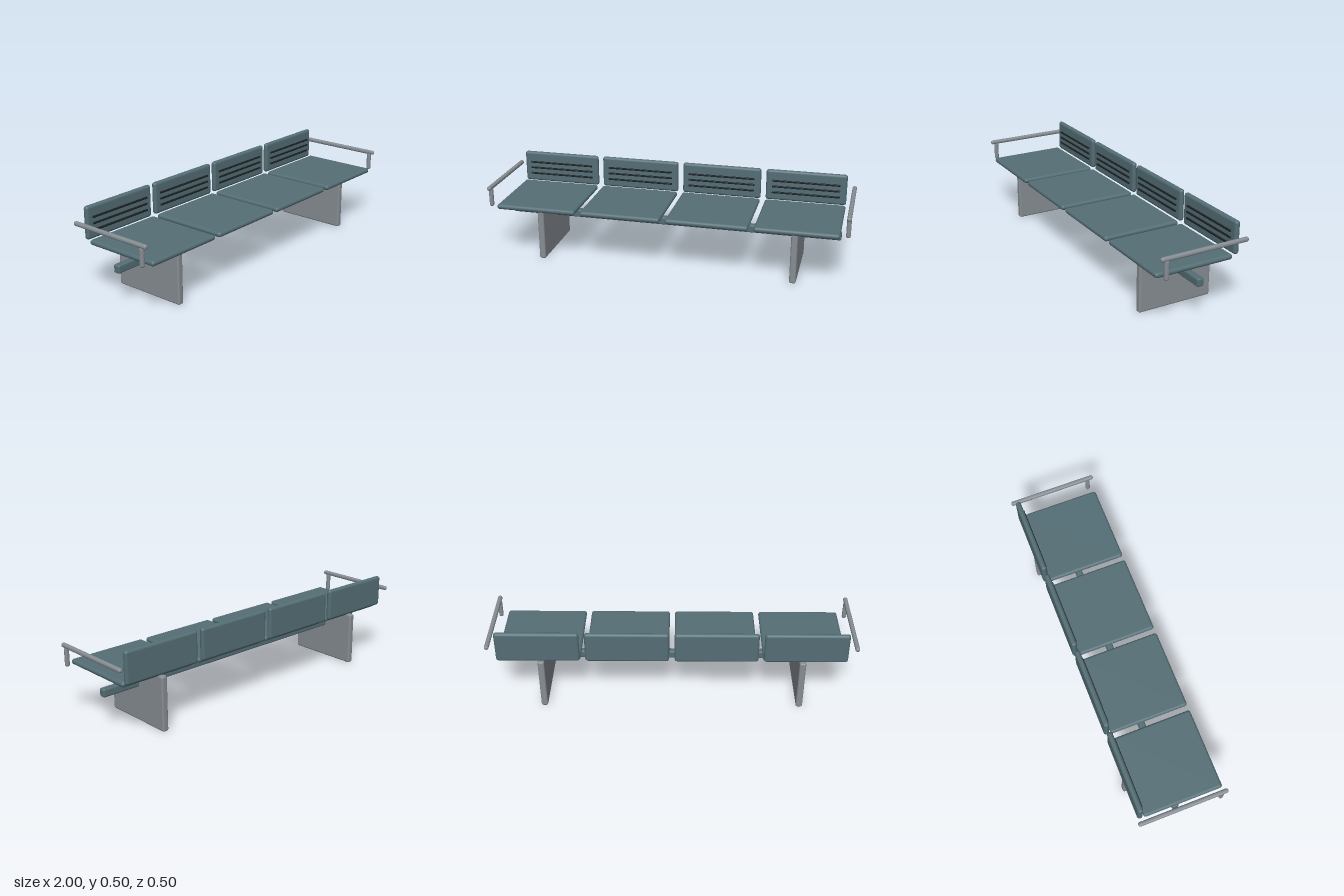
import * as THREE from 'three';
import { RoundedBoxGeometry } from 'three/addons/geometries/RoundedBoxGeometry.js';

const material = (name, color) => {
  const m = new THREE.MeshStandardMaterial({ color });
  m.name = name;
  return m;
};

export function createModel() {
  const teal = material('teal panel', 0x546e75);
  const steel = material('grey steel', 0x868d92);
  const dark = material('dark slot', 0x1c2224);

  const model = new THREE.Group();
  model.name = 'bench';

  // Rounded block given by its extents along each axis
  const block = (name, mat, [x0, x1], [y0, y1], [z0, z1], radius, parent = model) => {
    const geometry = new RoundedBoxGeometry(x1 - x0, y1 - y0, z1 - z0, 4, radius);
    const mesh = new THREE.Mesh(geometry, mat);
    mesh.name = name;
    mesh.position.set((x0 + x1) / 2, (y0 + y1) / 2, (z0 + z1) / 2);
    parent.add(mesh);
    return mesh;
  };

  // Four seats, each with a backrest and three slots
  for (let i = 0; i < 4; i++) {
    const seat = new THREE.Group();
    seat.name = 'seatUnit';
    seat.position.x = (i - 1.5) * 0.481;
    model.add(seat);
    block('seat', teal, [-0.226, 0.226], [0.296, 0.325], [-0.198, 0.248], 0.0144, seat);
    block('backrest', teal, [-0.226, 0.226], [0.317, 0.495], [-0.234, -0.204], 0.0148, seat);
    for (const y of [0.365, 0.4, 0.434]) {
      block('backSlot', dark, [-0.19, 0.19], [y - 0.005, y + 0.005], [-0.206, -0.197], 0.002, seat);
    }
  }

  // Long beam through the legs
  block('beam', teal, [-0.945, 0.945], [0.192, 0.237], [-0.032, 0.006], 0.009);

  // Leg panels and armrests, mirrored
  for (const s of [-1, 1]) {
    const x = 0.71 * s, a = 0.988 * s;
    block('leg', steel, [x - 0.018, x + 0.018], [0, 0.302], [-0.225, 0.2], 0.01);
    block('armrest', steel, [a - 0.012, a + 0.012], [0.401, 0.425], [-0.25, 0.25], 0.0105);
    block('armrestPost', steel, [a - 0.012, a + 0.012], [0.303, 0.408], [0.205, 0.229], 0.0105);
  }

  return model;
}
